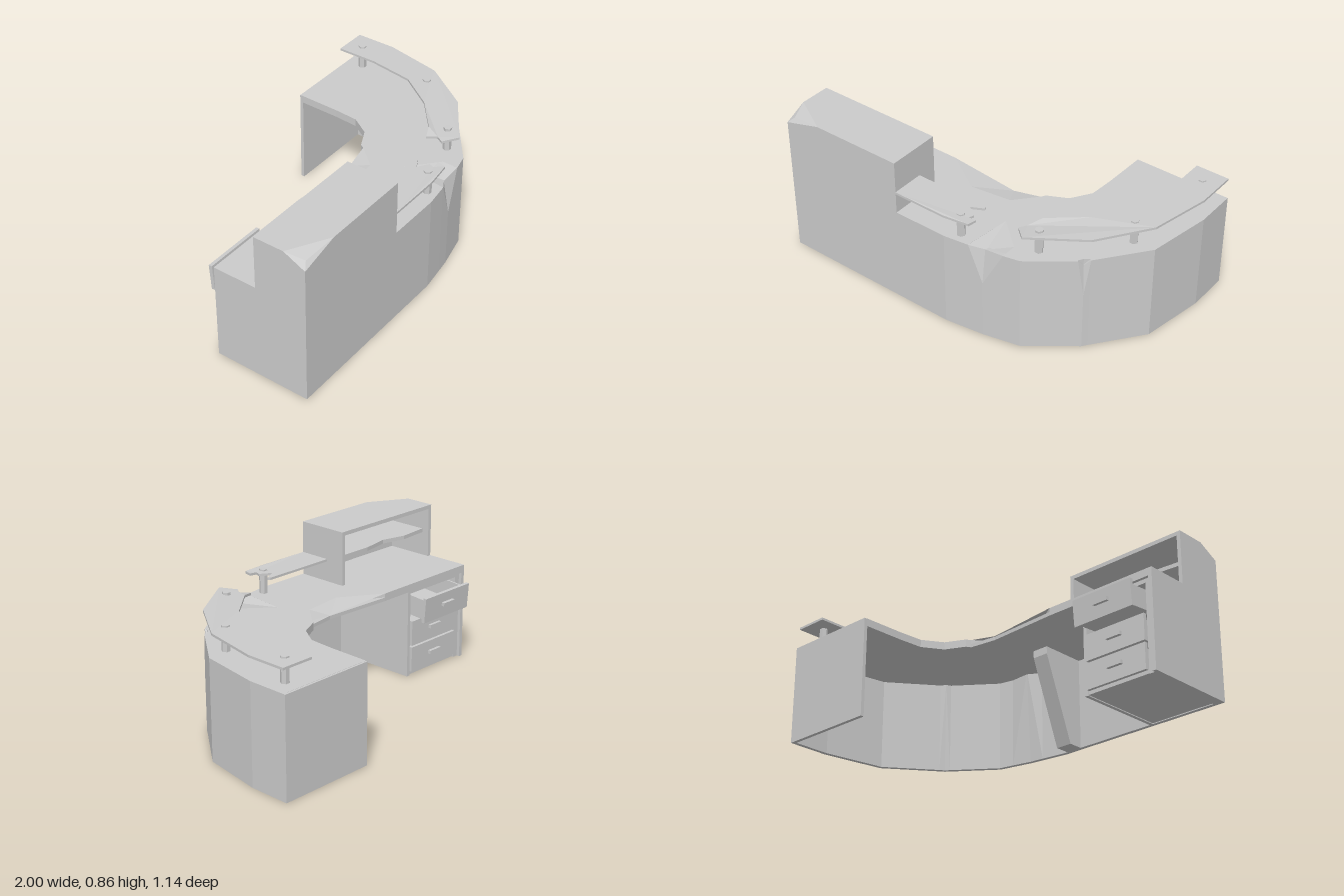
import * as THREE from 'three';

const mat = new THREE.MeshStandardMaterial({ color: 0xcccccc, flatShading: true });
const matDouble = new THREE.MeshStandardMaterial({ color: 0xcccccc, flatShading: true, side: THREE.DoubleSide });

export function createModel() {
  const desk = new THREE.Group();
  desk.name = 'receptionDesk';

  const add = (name, geo, parent = desk, material = mat) => {
    const m = new THREE.Mesh(geo, material);
    m.name = name;
    parent.add(m);
    return m;
  };
  const box = (name, x0, x1, y0, y1, z0, z1, parent = desk) => {
    const m = add(name, new THREE.BoxGeometry(x1 - x0, y1 - y0, z1 - z0), parent);
    m.position.set((x0 + x1) / 2, (y0 + y1) / 2, (z0 + z1) / 2);
    return m;
  };
  const extrude = (pts, depth) => new THREE.ExtrudeGeometry(
    new THREE.Shape(pts.map(p => new THREE.Vector2(p[0], p[1]))), { depth, bevelEnabled: false });
  // Horizontal plate from an x,z outline
  const plate = (pts, y0, y1) =>
    extrude(pts.map(([x, z]) => [x, -z]), y1 - y0).rotateX(-Math.PI / 2).translate(0, y0, 0);
  // Panel facing sideways from a z,y outline
  const sidePanel = (pts, x0, x1) =>
    extrude(pts.map(([z, y]) => [-z, y]), x1 - x0).rotateY(Math.PI / 2).translate(x0, 0, 0);
  // Broken facets: triangles from a centre to an open or closed rim
  const fan = (name, centre, rim) => {
    const pos = [];
    for (let i = 0; i + 1 < rim.length; i++) pos.push(...centre, ...rim[i], ...rim[i + 1]);
    const g = new THREE.BufferGeometry();
    g.setAttribute('position', new THREE.Float32BufferAttribute(pos, 3));
    g.computeVertexNormals();
    add(name, g, desk, matDouble);
  };

  const H = 0.555, T = 0.022;

  // Curved outer wall: columns [x, z, top height, push inward], last two only at dents
  const columns = [
    [-0.26, 0.565], [0.05, 0.565], [0.19, 0.546], [0.27, 0.535, 0.535, 0.033], [0.38, 0.51],
    [0.47, 0.49], [0.695, 0.319], [0.72, 0.3, 0.52, 0.015], [0.74, 0.272],
    [0.94, 0.012], [1, -0.34], [1, -0.57]];
  const wallPos = [], wallIdx = [], rows = 5;
  columns.forEach(([x, z, top = H, push = 0], i) => {
    const a = columns[Math.max(i - 1, 0)], b = columns[Math.min(i + 1, columns.length - 1)];
    const l = Math.hypot(b[0] - a[0], b[1] - a[1]);
    const nx = -(b[1] - a[1]) / l, nz = (b[0] - a[0]) / l;
    for (const [inset, y] of [[0, 0], [0, 0.34], [push, top], [push + T, top], [T, 0]])
      wallPos.push(x - nx * inset, y, z - nz * inset);
    if (!i) return;
    const dented = columns[i - 1].length > 2;
    for (let r = 0; r < rows; r++) {
      const s = (r + 1) % rows, p = (i - 1) * rows, q = i * rows;
      if (dented) wallIdx.push(p + r, q + r, q + s, p + r, q + s, p + s);
      else wallIdx.push(p + r, q + r, p + s, q + r, q + s, p + s);
    }
  });
  const wall = new THREE.BufferGeometry();
  wall.setAttribute('position', new THREE.Float32BufferAttribute(wallPos, 3));
  wall.setIndex(wallIdx);
  wall.computeVertexNormals();
  add('curvedFrontWall', wall);

  // Desktop: whole lower layer, upper layer with the broken areas left out
  const outerRight = [[0.47, 0.48], [0.69, 0.31], [0.705, 0.285], [0.73, 0.268],
    [0.93, 0.008], [0.99, -0.34], [0.99, -0.56]];
  const innerCurve = [[0.445, -0.56], [0.44, -0.32], [0.43, -0.18], [0.36, -0.07], [0.25, -0.015], [0.235, 0.01]];
  const straight = [[-0.33, 0.012], [-0.99, 0.012], [-0.99, 0.555], [0.05, 0.555], [0.19, 0.536]];
  add('desktopLower', plate([...straight, [0.27, 0.5], [0.38, 0.5], ...outerRight, ...innerCurve,
    [0.08, 0.032]], 0.512, 0.532));
  add('desktopUpper', plate([...straight, [0.22, 0.28], [0.38, 0.42], [0.38, 0.5], ...outerRight, ...innerCurve,
    [0.13, 0.13], [-0.1, 0.16]], 0.532, H));
  fan('brokenInnerEdge', [0.08, 0.535, 0.032],
    [[-0.33, H, 0.012], [-0.1, H, 0.16], [0.13, H, 0.13], [0.235, H, 0.01]]);
  fan('brokenOuterEdge', [0.27, 0.535, 0.5],
    [[0.19, H, 0.546], [0.22, H, 0.28], [0.38, H, 0.42], [0.38, H, 0.51]]);

  // End panels of the desk
  box('wingEndPanel', 0.445, 1, 0, H - 0.001, -0.572, -0.552);
  add('endPanel', sidePanel([[0.012, 0], [0.565, 0], [0.565, 0.8], [0.44, 0.86],
    [0.265, 0.86], [0.265, H], [0.012, H]], -1, -1 + T));

  // Tall cabinet, open to the back, with a chipped corner
  add('tallFrontPanel', extrude([[-1, 0], [-0.26, 0], [-0.26, 0.86], [-0.78, 0.86], [-1, 0.8],
    [-1, 0.69], [-0.978, 0.63], [-1, 0.56]], T).translate(0, 0, 0.565 - T));
  add('tallTop', plate([[-1, 0.265], [-0.26, 0.265], [-0.26, 0.565], [-0.78, 0.565], [-1, 0.44]], 0.838, 0.86));
  box('tallInnerSide', -0.26 - T, -0.26, H, 0.86, 0.265, 0.565);
  fan('chippedCorner', [-0.965, 0.832, 0.543],
    [[-1, 0.86, 0.44], [-1, 0.8, 0.565], [-0.78, 0.86, 0.565], [-1, 0.86, 0.44]]);
  add('tallShelf', plate([[-0.98, 0.55], [-0.98, 0.31], [-0.8, 0.295], [-0.66, 0.33], [-0.5, 0.3],
    [-0.28, 0.3], [-0.28, 0.55]], 0.69, 0.712));

  // Tapered bracket under the desktop
  add('bracket', sidePanel([[0.55, 0], [0.55, 0.515], [0.28, 0.515], [0.28, 0.47], [0.46, 0]], -0.07, 0.025));

  // Drawer pedestal
  const px0 = -0.945, px1 = -0.54;
  const pedestal = new THREE.Group();
  pedestal.name = 'drawerPedestal';
  desk.add(pedestal);
  box('pedestalSide', px1 - 0.02, px1, 0, 0.513, 0.03, 0.545, pedestal);
  box('pedestalSide', px0 - 0.035, px0, 0, 0.513, 0.03, 0.545, pedestal);
  box('pedestalBottom', px0, px1 - 0.02, 0.005, 0.025, 0.035, 0.545, pedestal);
  box('pedestalRail', px0, px1 - 0.02, 0.49, 0.513, 0.03, 0.05, pedestal);

  // Three drawers; the top one hangs partly open
  for (let i = 0; i < 3; i++) {
    const drawer = new THREE.Group();
    drawer.name = ['bottomDrawer', 'middleDrawer', 'topDrawer'][i];
    drawer.position.set(-0.75, 0.025 + i * 0.156, i === 2 ? -0.068 : 0.018);
    if (i === 2) drawer.rotation.x = -0.08;
    pedestal.add(drawer);
    box('drawerFront', -0.185, 0.185, 0, 0.145, 0, 0.02, drawer);
    box('drawerHandle', -0.045, 0.045, 0.07, 0.09, -0.018, 0, drawer);
    box('drawerBottom', -0.17, 0.17, 0.012, 0.022, 0.02, 0.42, drawer);
    for (const x of [-0.17, 0.16]) box('drawerSide', x, x + 0.01, 0.012, 0.125, 0.02, 0.42, drawer);
    box('drawerBack', -0.17, 0.17, 0.012, 0.125, 0.41, 0.42, drawer);
  }

  // Raised counter, snapped into two pieces with slightly bent broken ends
  const counter = (name, pts, bend) => {
    const g = plate(pts, 0.67, 0.683), p = g.attributes.position;
    for (let i = 0; i < p.count; i++) p.setY(i, p.getY(i) + bend(p.getX(i)));
    g.computeVertexNormals();
    add(name, g);
  };
  counter('shortCounter', [[-0.26, 0.38], [0.17, 0.38], [0.178, 0.395], [0.11, 0.43], [0.17, 0.47],
    [0.16, 0.5], [0.205, 0.5], [0.195, 0.548], [0.05, 0.565], [-0.26, 0.565]], x => (x > 0.19 ? 0.004 : 0));
  counter('curvedCounter', [[0.998, -0.56], [0.998, -0.33], [0.93, 0], [0.74, 0.275], [0.46, 0.465],
    [0.39, 0.4], [0.415, 0.36], [0.38, 0.31], [0.45, 0.28], [0.63, 0.13], [0.77, -0.07],
    [0.81, -0.33], [0.81, -0.56]], x => (x < 0.42 ? -0.013 : 0));

  // Hexagonal posts
  for (const [x, z] of [[0.11, 0.5], [0.495, 0.37], [0.82, 0.022], [0.9, -0.47]]) {
    const post = add('counterPost', new THREE.CylinderGeometry(0.023, 0.023, 0.15, 6));
    post.rotation.y = Math.PI / 6;
    post.position.set(x, 0.616, z);
  }
  return desk;
}
